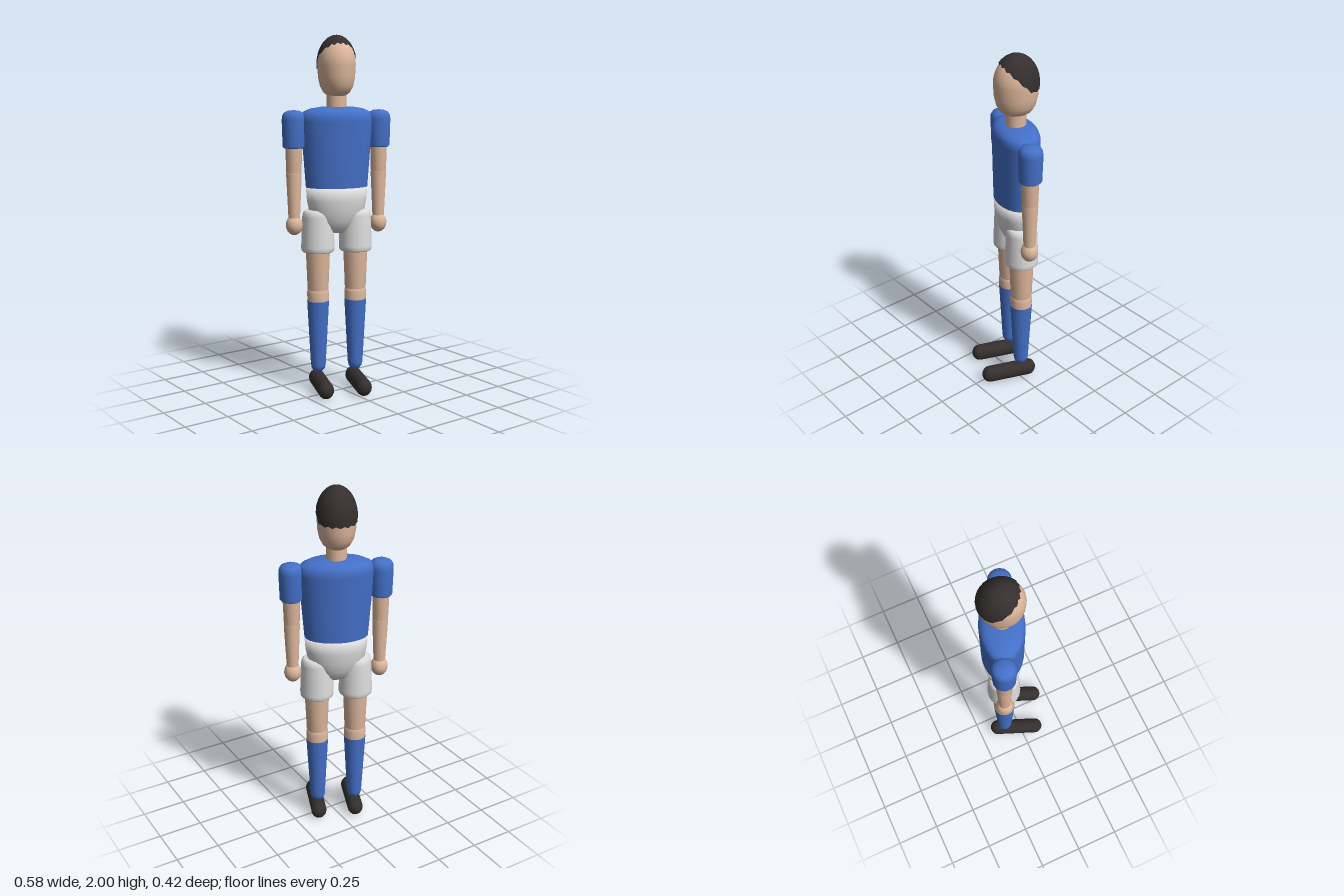
import * as THREE from 'three';

const material = (name, color) => {
  const m = new THREE.MeshStandardMaterial({ color });
  m.name = name;
  return m;
};

export function createModel() {
  const blue = material('blue cloth', 0x4470c8);
  const white = material('white cloth', 0xdedede);
  const skin = material('skin', 0xdfb89d);
  const dark = material('dark hair and shoes', 0x352f2f);
  dark.side = THREE.DoubleSide;

  const model = new THREE.Group();
  model.name = 'footballer';
  // The figure stands turned slightly to its right
  const body = new THREE.Group();
  body.name = 'body';
  body.rotation.y = -0.384;
  body.position.z = -0.054;
  model.add(body);

  const add = (name, geometry, mat, x = 0, y = 0, z = 0) => {
    const mesh = new THREE.Mesh(geometry, mat);
    mesh.name = name;
    mesh.position.set(x, y, z);
    body.add(mesh);
    return mesh;
  };
  // Profile of [radius, height] from bottom to top
  const turned = (profile, sides = 16) =>
    new THREE.LatheGeometry(profile.map(([r, y]) => new THREE.Vector2(r, y)), sides);

  // Shirt: oval section that is relatively flatter at the shoulders
  const shirt = turned([[0, 1.15], [0.172, 1.15], [0.175, 1.155], [0.19, 1.35], [0.205, 1.53],
    [0.203, 1.56], [0.188, 1.583], [0.15, 1.6], [0.09, 1.609], [0, 1.611]], 24);
  shirt.scale(1, 1, 0.62);
  const p = shirt.attributes.position;
  for (let i = 0; i < p.count; i++) {
    const t = Math.min(1, (p.getY(i) - 1.15) / 0.4);
    p.setZ(i, p.getZ(i) * (1.08 - 0.14 * t));
  }
  add('shirt', shirt, blue);

  // Shorts seat
  const seat = turned([[0, 0.9], [0.06, 0.906], [0.1, 0.93], [0.135, 0.975], [0.158, 1.03],
    [0.17, 1.09], [0.176, 1.165], [0, 1.165]], 24);
  seat.scale(1, 1, 0.67);
  add('shortsSeat', seat, white);

  // Neck and head
  add('neck', new THREE.CylinderGeometry(0.055, 0.055, 0.13, 16), skin, 0, 1.645, 0);
  const crown = { y: 1.84, rx: 0.105, ry: 0.152, rz: 0.122 };
  const headProfile = [[0, 1.662], [0.045, 1.667], [0.073, 1.688], [0.091, 1.722], [0.101, 1.77]];
  for (let i = 0; i <= 10; i++) {
    const a = (i / 10) * Math.PI / 2;
    headProfile.push([crown.rx * Math.cos(a), crown.y + crown.ry * Math.sin(a)]);
  }
  const head = turned(headProfile, 24);
  head.scale(1, 1, crown.rz / crown.rx);
  add('head', head, skin);

  // Hair: a close shell above a hairline that slopes down to the nape
  const cols = 32, rows = 8, pos = [], index = [];
  const ry = 0.16, rx = crown.rx + 0.005, rz = crown.rz + 0.004;
  for (let r = 0; r <= rows; r++) {
    for (let c = 0; c < cols; c++) {
      const a = (c / cols) * Math.PI * 2;
      let y = 1.87;
      const width = () => Math.sqrt(Math.max(0, 1 - ((y - crown.y) / ry) ** 2));
      for (let k = 0; k < 30; k++) {
        y = (y + Math.max(1.812, 1.866 + 0.95 * rz * width() * Math.cos(a))) / 2;
      }
      y += c % 2 ? 0.005 : -0.005;
      const low = Math.asin((y - crown.y) / ry);
      const e = low + (Math.PI / 2 - low) * (r / rows);
      pos.push(rx * Math.cos(e) * Math.sin(a), crown.y + ry * Math.sin(e), rz * Math.cos(e) * Math.cos(a));
      if (r < rows) {
        const n = (c + 1) % cols, i = r * cols;
        index.push(i + c, i + n, i + cols + n, i + c, i + cols + n, i + cols + c);
      }
    }
  }
  const hair = new THREE.BufferGeometry();
  hair.setAttribute('position', new THREE.Float32BufferAttribute(pos, 3));
  hair.setIndex(index);
  hair.computeVertexNormals();
  add('hair', hair, dark);

  // Limbs, mirrored
  for (const [side, s] of [['left', 1], ['right', -1]]) {
    const ax = 0.243 * s, lx = 0.109 * s;

    // Arm
    add(side + 'Sleeve', turned([[0, 1.383], [0.054, 1.385], [0.062, 1.393], [0.066, 1.54],
      [0.063, 1.563], [0.052, 1.58], [0.03, 1.59], [0, 1.593]]), blue, ax);
    add(side + 'UpperArm', turned([[0, 1.215], [0.03, 1.225], [0.043, 1.25], [0.048, 1.42]]), skin, ax);
    add(side + 'Forearm', turned([[0.031, 0.97], [0.033, 1.0], [0.044, 1.24], [0.036, 1.27], [0, 1.285]]), skin, ax);
    const hand = add(side + 'Hand', new THREE.SphereGeometry(0.048, 16, 12), skin, ax, 0.956, 0);
    hand.scale.y = 1.18;

    // Leg
    add(side + 'ShortsLeg', turned([[0, 0.8], [0.085, 0.8], [0.093, 0.808], [0.094, 0.83], [0.087, 1.0],
      [0.082, 1.025], [0.068, 1.038], [0, 1.043]], 18), white, lx);
    add(side + 'Thigh', turned([[0, 0.53], [0.04, 0.545], [0.06, 0.585], [0.07, 0.83]]), skin, lx);
    add(side + 'Knee', turned([[0.0615, 0.51], [0.063, 0.565], [0.055, 0.6], [0, 0.625]]), skin, lx);
    add(side + 'Sock', turned([[0, 0.1], [0.025, 0.106], [0.038, 0.122], [0.043, 0.145],
      [0.063, 0.517], [0.061, 0.519], [0, 0.519]]), blue, lx);

    // Shoe: a capsule lying along the foot
    const shoe = new THREE.CapsuleGeometry(0.045, 0.237, 6, 16);
    shoe.rotateX(Math.PI / 2);
    shoe.scale(1, 1.1, 1);
    add(side + 'Shoe', shoe, dark, lx, 0.0495, 0.074);
  }
  return model;
}
